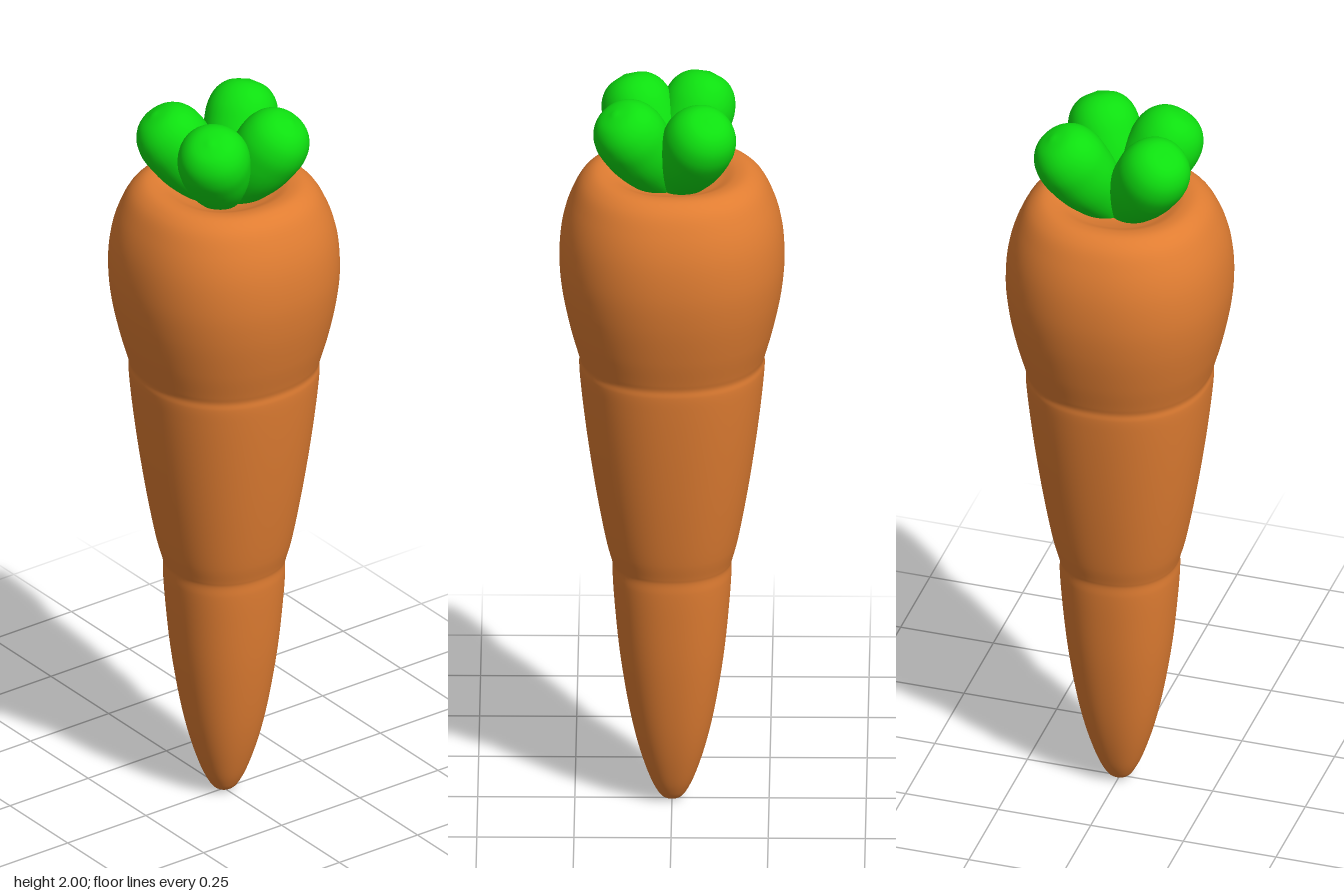
import * as THREE from 'three';
import { mergeVertices } from 'three/addons/utils/BufferGeometryUtils.js';

const orange = new THREE.MeshStandardMaterial({ color: 0xe07d32 });
const green = new THREE.MeshStandardMaterial({ color: 0x0ee010 });

// Smooth solid of revolution from [radius, height] pairs, with a slightly squared cross-section
function turned(pairs, steps, sides, power = 2) {
  const curve = new THREE.CatmullRomCurve3(pairs.map(([r, y]) => new THREE.Vector3(r, y, 0)));
  const points = curve.getPoints(steps).map(p => new THREE.Vector2(Math.max(0, p.x), p.y));
  points[0].x = points[points.length - 1].x = 0;
  const geo = new THREE.LatheGeometry(points, sides);
  const pos = geo.attributes.position;
  for (let i = 0; i < pos.count; i++) {
    const x = pos.getX(i), z = pos.getZ(i), r = Math.hypot(x, z);
    if (r < 1e-6) continue;
    const k = (Math.abs(x / r) ** power + Math.abs(z / r) ** power) ** (-1 / power);
    pos.setXYZ(i, x * k, pos.getY(i), z * k);
  }
  geo.deleteAttribute('uv');
  geo.deleteAttribute('normal');
  const merged = mergeVertices(geo, 1e-5);
  merged.computeVertexNormals();
  return merged;
}

export function createModel() {
  const model = new THREE.Group();
  model.name = 'carrot';

  // Root: three stacked swellings with a soft dimple on top
  const root = new THREE.Mesh(turned([
    [0, 0], [0.025, 0.009], [0.046, 0.04], [0.073, 0.11], [0.102, 0.22], [0.132, 0.4],
    [0.148, 0.56], [0.153, 0.64], [0.153, 0.672], [0.156, 0.685], [0.168, 0.73],
    [0.194, 0.87], [0.219, 1.04], [0.235, 1.18], [0.239, 1.235], [0.238, 1.255],
    [0.243, 1.275], [0.262, 1.345], [0.283, 1.45], [0.29, 1.54], [0.282, 1.63],
    [0.261, 1.7], [0.232, 1.752], [0.2, 1.774], [0.165, 1.774], [0.125, 1.758],
    [0.07, 1.742], [0, 1.737],
  ], 200, 64, 2.2), orange);
  root.name = 'root';
  model.add(root);

  // Leaves: four fat drops leaning outward from the crown
  const leafGeometry = turned([
    [0, 0], [0.03, 0.005], [0.05, 0.05], [0.07, 0.1], [0.085, 0.15], [0.092, 0.2],
    [0.092, 0.25], [0.078, 0.29], [0.05, 0.317], [0, 0.33],
  ], 48, 32, 2.1);
  const leaves = new THREE.Group();
  leaves.name = 'leaves';
  const directions = [[-0.073, -0.112], [0.107, -0.077], [-0.068, 0.112], [0.087, 0.097]];
  for (const [x, z] of directions) {
    const leaf = new THREE.Mesh(leafGeometry, green);
    leaf.name = 'leaf';
    leaf.position.y = 1.71;
    leaf.rotation.order = 'YXZ';
    leaf.rotation.set(0.59, Math.atan2(x, z), 0);
    leaves.add(leaf);
  }
  model.add(leaves);
  return model;
}
